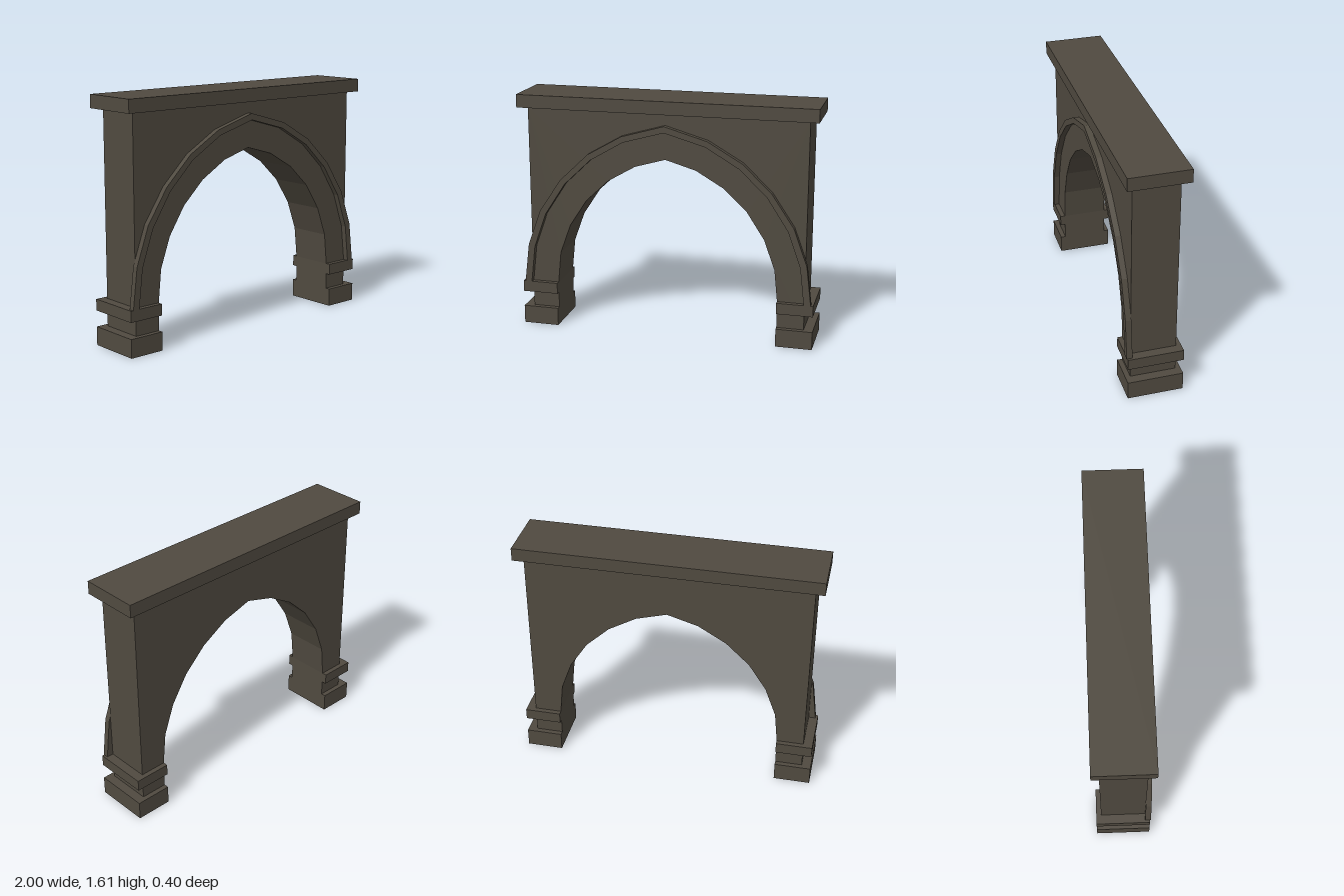
import * as THREE from 'three';

// Mirrors a right-hand profile (spring to apex) into a full arch, right to left
function fullArch(half) {
  return [...half, ...half.slice(0, -1).reverse().map(([x, y]) => [-x, y])];
}

function extrude(points, z0, z1) {
  const shape = new THREE.Shape(points.map(([x, y]) => new THREE.Vector2(x, y)));
  const geo = new THREE.ExtrudeGeometry(shape, { depth: z1 - z0, bevelEnabled: false });
  return geo.translate(0, 0, z0);
}

export function createModel() {
  const group = new THREE.Group();
  const stone = new THREE.MeshStandardMaterial({ color: 0x504a40, flatShading: true, side: THREE.DoubleSide });
  stone.name = 'darkStone';

  const add = (name, geo) => {
    const mesh = new THREE.Mesh(geo, stone);
    mesh.name = name;
    group.add(mesh);
    return mesh;
  };
  const box = (name, x0, x1, y0, y1, depth) => {
    const geo = new THREE.BoxGeometry(x1 - x0, y1 - y0, depth);
    geo.translate((x0 + x1) / 2, (y0 + y1) / 2, 0);
    return add(name, geo);
  };

  // Wall pierced by the pointed arch; its legs stand on the hollow plinths
  const opening = fullArch([
    [0.757, 0.12], [0.757, 0.305], [0.735, 0.52], [0.662, 0.72],
    [0.545, 0.9], [0.39, 1.047], [0.205, 1.155], [0, 1.215],
  ]);
  add('archWall', extrude([[-0.938, 0.12], [-0.938, 1.52], [0.938, 1.52], [0.938, 0.12], ...opening], -0.15, 0.15));

  // Raised moulding following the arch on the front
  const outer = fullArch([
    [0.984, 0.305], [0.951, 0.573], [0.86, 0.822], [0.712, 1.042],
    [0.52, 1.226], [0.288, 1.36], [0, 1.443],
  ]);
  const inner = fullArch([
    [0.938, 0.305], [0.908, 0.56], [0.823, 0.798], [0.682, 1.015],
    [0.5, 1.19], [0.275, 1.322], [0, 1.4],
  ]);
  add('archMoulding', extrude([...outer, ...inner.reverse()], 0.15, 0.188));

  // Coping slab
  box('coping', -1, 1, 1.52, 1.607, 0.396);

  // Plinth and collar on each leg
  for (const [side, s] of [['left', 1], ['right', -1]]) {
    const [x0, x1] = s > 0 ? [0.757, 1] : [-1, -0.757];
    const plinth = box(side + 'Plinth', x0, x1, 0, 0.123, 0.366);
    // Open underside: drop the bottom face of the box
    const index = Array.from(plinth.geometry.index.array);
    index.splice(18, 6);
    plinth.geometry.setIndex(index);
    plinth.geometry.clearGroups();
    box(side + 'Collar', x0, x1, 0.23, 0.305, 0.366);
  }
  return group;
}
